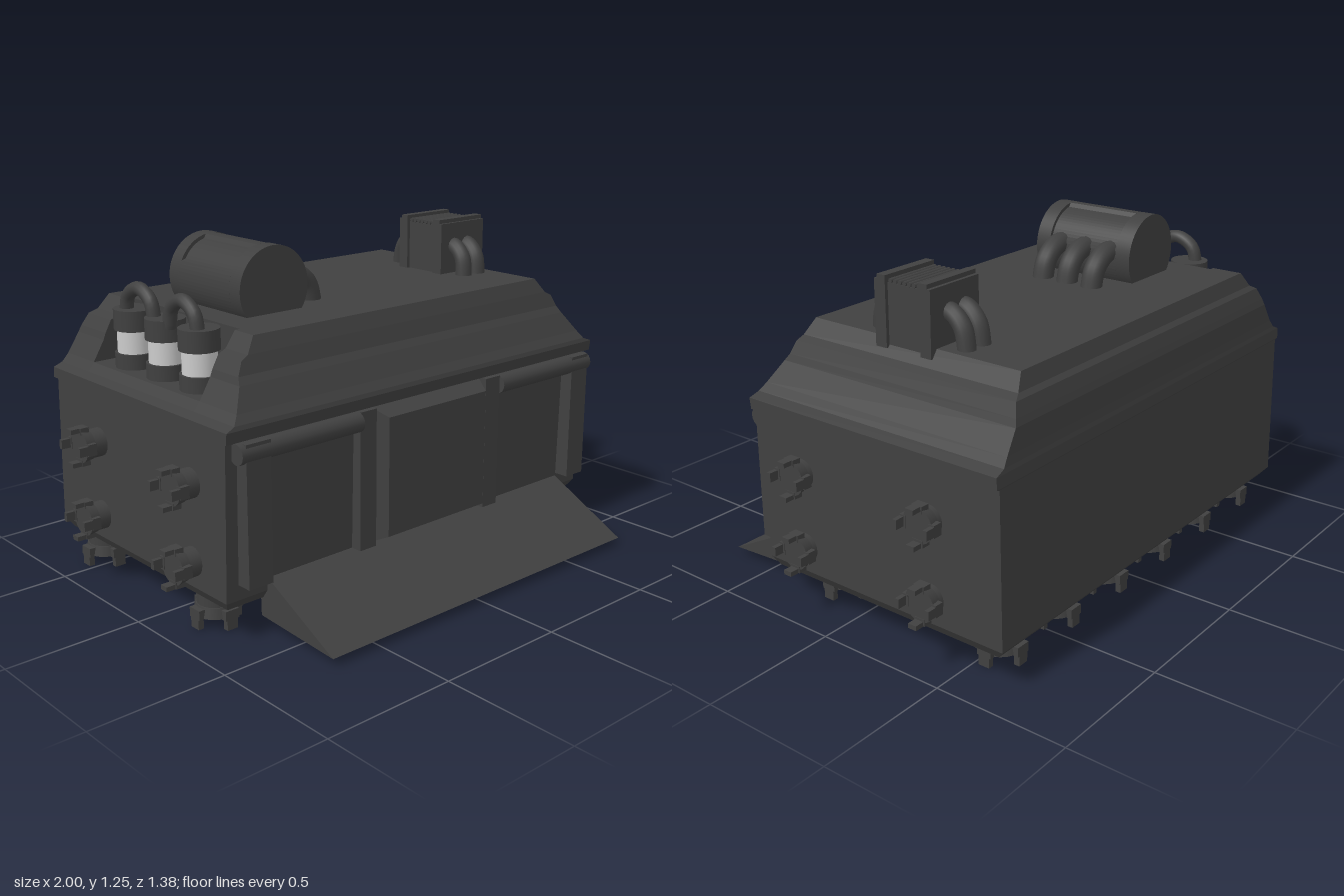
import * as THREE from 'three';

const dark = new THREE.MeshStandardMaterial({ color: 0x404040 });
const darkFlat = new THREE.MeshStandardMaterial({ color: 0x404040, flatShading: true });
const pale = new THREE.MeshStandardMaterial({ color: 0xcccccc });

function add(parent, name, geo, mat = dark, x = 0, y = 0, z = 0) {
  const m = new THREE.Mesh(geo, mat);
  m.name = name;
  m.position.set(x, y, z);
  parent.add(m);
  return m;
}

// Box given by its limits on each axis
function box(parent, name, x0, x1, y0, y1, z0, z1) {
  return add(parent, name, new THREE.BoxGeometry(x1 - x0, y1 - y0, z1 - z0), darkFlat,
    (x0 + x1) / 2, (y0 + y1) / 2, (z0 + z1) / 2);
}

function pipe(parent, name, pts, r) {
  const curve = new THREE.CatmullRomCurve3(pts.map(p => new THREE.Vector3(...p)));
  return add(parent, name, new THREE.TubeGeometry(curve, 20, r, 12), dark);
}

// Closed profile in the xy plane, extruded from z0 to z1
function prism(parent, name, pts, z0, z1) {
  const shape = new THREE.Shape(pts.map(p => new THREE.Vector2(...p)));
  const geo = new THREE.ExtrudeGeometry(shape, { depth: z1 - z0, bevelEnabled: false });
  return add(parent, name, geo, darkFlat, 0, 0, z0);
}

// Hull and stepped roof: rectangular sections with a notch for the canisters
function hullGeometry() {
  // y, x0, x1, z0, z1, notched
  const rings = [
    [0.12, -0.86, 0.885, -0.66, 0.33, 0],
    [0.155, -0.88, 0.905, -0.69, 0.355, 0],
    [0.71, -0.875, 0.905, -0.68, 0.365, 0],
    [0.715, -0.89, 0.92, -0.682, 0.39, 0],
    [0.755, -0.89, 0.92, -0.68, 0.395, 0],
    [0.77, -0.855, 0.88, -0.677, 0.39, 0],
    [0.80, -0.83, 0.86, -0.673, 0.37, 0],
    [0.80, -0.83, 0.86, -0.673, 0.37, 1],
    [0.875, -0.785, 0.81, -0.667, 0.328, 1],
    [0.90, -0.775, 0.80, -0.66, 0.31, 1],
    [0.945, -0.75, 0.78, -0.645, 0.295, 1],
    [0.96, -0.72, 0.75, -0.63, 0.29, 1],
    [1.015, -0.68, 0.71, -0.61, 0.268, 1]
  ];
  const pos = [], idx = [], n = 8;
  let outline;
  for (const [y, x0, x1, z0, z1, cut] of rings) {
    const nx = cut ? -0.66 : x0;
    outline = [[x1, z1], [x1, z0], [x0, z0], [x0, -0.49], [nx, -0.49], [nx, 0.17], [x0, 0.17], [x0, z1]];
    for (const [x, z] of outline) pos.push(x, y, z);
  }
  for (let r = 0; r < rings.length - 1; r++) {
    for (let i = 0; i < n; i++) {
      const a = r * n + i, b = r * n + (i + 1) % n;
      idx.push(a, b, b + n, a, b + n, a + n);
    }
  }
  idx.push(0, 2, 1, 0, 7, 2);
  const top = (rings.length - 1) * n;
  const flat = outline.map(([x, z]) => new THREE.Vector2(x, -z));
  for (const f of THREE.ShapeUtils.triangulateShape(flat, [])) idx.push(...f.map(i => i + top));
  const geo = new THREE.BufferGeometry();
  geo.setAttribute('position', new THREE.Float32BufferAttribute(pos, 3));
  geo.setIndex(idx);
  geo.computeVertexNormals();
  return geo;
}

// Clawed coupling pointing along its own +y
function coupling(parent, name, r, len) {
  const g = new THREE.Group();
  g.name = name;
  add(g, 'neck', new THREE.CylinderGeometry(r * 0.85, r * 0.85, len * 0.7, 20), dark, 0, len * 0.3, 0);
  add(g, 'flange', new THREE.CylinderGeometry(r, r * 0.9, len * 0.3, 20), dark, 0, len * 0.55, 0);
  for (let i = 0; i < 4; i++) {
    const arm = new THREE.Group();
    arm.name = 'claw';
    arm.rotation.y = i * Math.PI / 2;
    box(arm, 'clawBase', r * 0.75, r * 1.15, len * 0.45, len * 0.72, -r * 0.35, r * 0.35);
    box(arm, 'clawTip', r * 0.88, r * 1.15, len * 0.65, len, -r * 0.27, r * 0.27);
    g.add(arm);
  }
  parent.add(g);
  return g;
}

export function createModel() {
  const model = new THREE.Group();
  model.name = 'container';
  add(model, 'hull', hullGeometry(), darkFlat);

  // Feet in two rows of six
  for (const z of [0.17, -0.54]) {
    for (let i = 0; i < 6; i++) {
      const foot = coupling(model, 'foot', 0.08, 0.13);
      foot.position.set(-0.79 + i * 0.302, 0.132, z);
      foot.rotation.x = Math.PI;
    }
  }

  // Side couplings, four on each end
  for (const side of [1, -1]) {
    for (const y of [0.25, 0.53]) {
      for (const z of [0.17, -0.4]) {
        const c = coupling(model, 'sideCoupling', 0.062, 0.125);
        c.position.set(side * 0.875, y, z);
        c.rotation.z = -side * Math.PI / 2;
      }
    }
  }

  // Front posts, rollers and raised centre panel
  for (const [x0, x1] of [[-0.83, -0.73], [0.785, 0.88]]) box(model, 'endPost', x0, x1, 0.21, 0.71, 0.34, 0.415);
  for (const [x0, x1] of [[-0.33, -0.255], [0.3, 0.375]]) box(model, 'innerPost', x0, x1, 0.2, 0.71, 0.34, 0.4);
  for (const [x0, x1] of [[-0.85, -0.33], [0.375, 0.89]]) {
    const roller = add(model, 'roller', new THREE.CylinderGeometry(0.036, 0.036, x1 - x0, 16), dark, (x0 + x1) / 2, 0.675, 0.388);
    roller.rotation.z = Math.PI / 2;
  }
  const panel = new THREE.BoxGeometry(0.555, 0.51, 0.07);
  const p = panel.attributes.position;
  for (let i = 0; i < p.count; i++) {
    if (p.getZ(i) > 0) p.setXY(i, p.getX(i) * 0.88, p.getY(i) * 0.87);
  }
  add(model, 'frontPanel', panel, darkFlat, 0.022, 0.455, 0.395);

  // Wedge ramp; its profile is drawn as (-z, y) and turned to run along x
  const ramp = prism(model, 'ramp', [[-0.69, 0.03], [-0.32, 0.05], [-0.32, 0.2], [-0.36, 0.2]], 0, 1.49);
  ramp.rotation.y = Math.PI / 2;
  ramp.position.x = -0.71;

  // Drum with two recessed windows between its end caps
  const drum = new THREE.Group();
  drum.name = 'drum';
  drum.position.set(-0.425, 1.103, 0);
  model.add(drum);
  for (const z of [0.03, -0.33]) {
    const cap = add(drum, 'drumCap', new THREE.CylinderGeometry(0.15, 0.15, 0.06, 48), dark, 0, 0, z);
    cap.rotation.x = Math.PI / 2;
  }
  const core = [];
  for (let a = 0; a < 360; a += 5) {
    const recessed = (a >= 20 && a <= 80) || (a >= 105 && a <= 150);
    const r = recessed ? 0.137 : 0.15, t = a * Math.PI / 180;
    core.push([r * Math.cos(t), r * Math.sin(t)]);
  }
  prism(drum, 'drumCore', core, -0.3, 0);
  for (const z of [-0.26, -0.15, -0.04]) {
    pipe(model, 'drumPipe', [[-0.32, 1.125, z], [-0.255, 1.118, z], [-0.2, 1.075, z], [-0.175, 0.99, z]], 0.04);
  }

  // Radiator box with end plates, slats and looping pipes
  const radiator = new THREE.Group();
  radiator.name = 'radiator';
  model.add(radiator);
  box(radiator, 'radiatorCore', 0.51, 0.725, 0.98, 1.205, -0.25, -0.06);
  for (const [z0, z1] of [[-0.275, -0.23], [-0.085, -0.038]]) box(radiator, 'endPlate', 0.497, 0.738, 0.985, 1.215, z0, z1);
  box(radiator, 'topRimBack', 0.497, 0.738, 1.215, 1.23, -0.262, -0.23);
  box(radiator, 'topRimFront', 0.497, 0.738, 1.215, 1.23, -0.085, -0.05);
  for (let i = 0; i < 7; i++) {
    const slat = add(radiator, 'slat', new THREE.CylinderGeometry(0.008, 0.008, 0.22, 10), dark, 0.617, 1.212, -0.098 - i * 0.02);
    slat.rotation.z = Math.PI / 2;
  }
  for (const x of [0.565, 0.64]) {
    pipe(radiator, 'frontPipe', [[x + 0.01, 1.125, -0.09], [x + 0.005, 1.12, -0.03], [x, 1.08, 0.015], [x - 0.005, 0.99, 0.03]], 0.032);
    pipe(radiator, 'backPipe', [[x, 1.125, -0.23], [x + 0.005, 1.12, -0.29], [x + 0.01, 1.08, -0.335], [x + 0.015, 0.99, -0.357]], 0.032);
  }

  // Canisters standing in the notch, joined by hoses
  for (const z of [-0.35, -0.15, 0.05]) {
    const c = new THREE.Group();
    c.name = 'canister';
    c.position.set(-0.74, 0, z);
    add(c, 'canisterBase', new THREE.CylinderGeometry(0.072, 0.072, 0.06, 24), dark, 0, 0.825, 0);
    add(c, 'canisterGlass', new THREE.CylinderGeometry(0.062, 0.062, 0.09, 24), pale, 0, 0.895, 0);
    add(c, 'canisterCap', new THREE.CylinderGeometry(0.072, 0.072, 0.075, 24), dark, 0, 0.975, 0);
    model.add(c);
  }
  for (const [z0, z1] of [[-0.37, -0.19], [-0.1, 0.07]]) {
    const mid = (z0 + z1) / 2;
    pipe(model, 'hose', [[-0.757, 0.99, z0], [-0.757, 1.06, z0 + 0.02], [-0.757, 1.095, mid], [-0.757, 1.06, z1 - 0.02], [-0.757, 0.99, z1]], 0.025);
  }
  return model;
}
